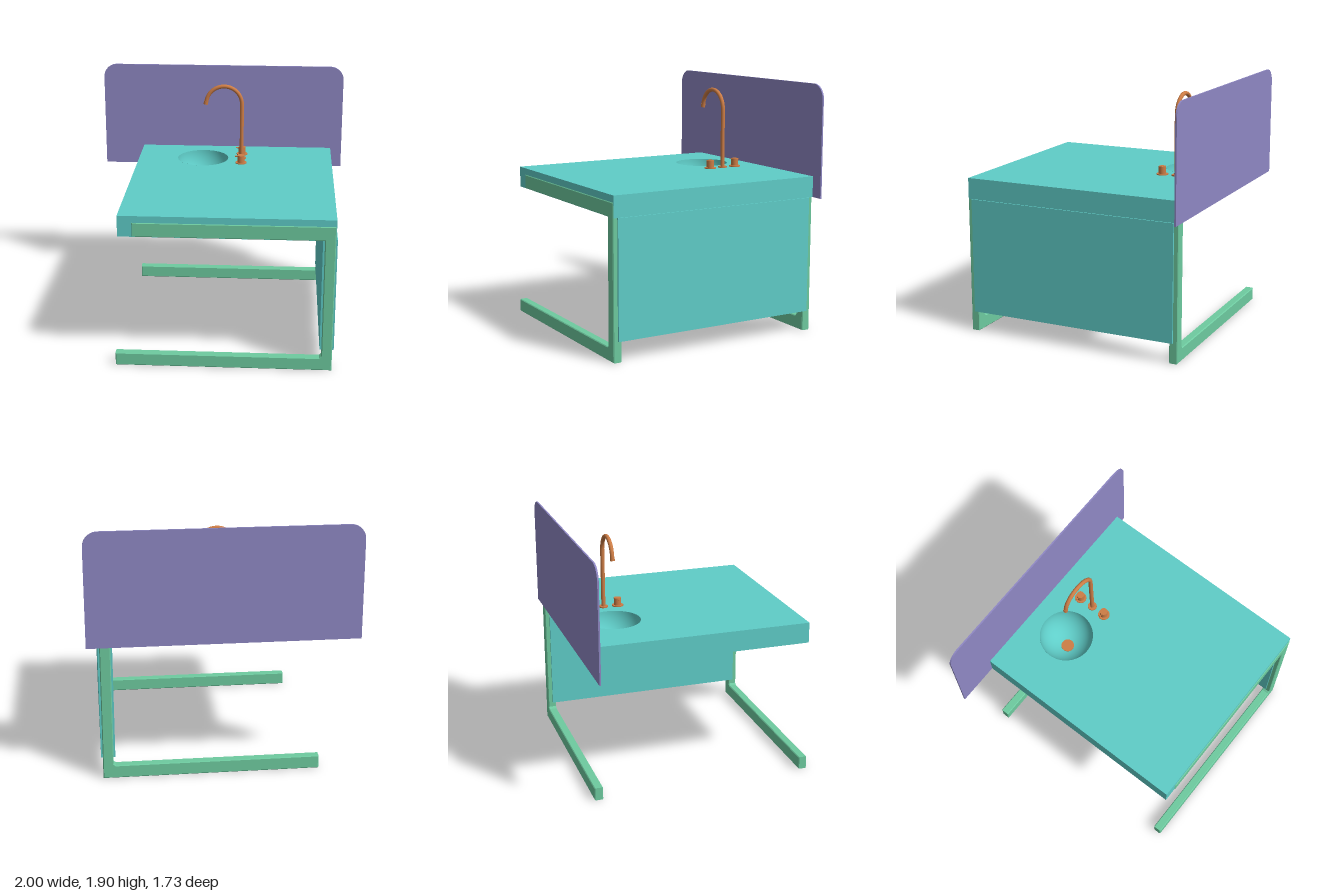
import * as THREE from 'three';

const paint = (color, side = THREE.FrontSide) => new THREE.MeshStandardMaterial({ color, side });

function rectPath(x0, x1, y0, y1, Type = THREE.Shape) {
  const p = new Type();
  p.moveTo(x0, y0);
  p.lineTo(x1, y0);
  p.lineTo(x1, y1);
  p.lineTo(x0, y1);
  p.closePath();
  return p;
}

export function createModel() {
  const model = new THREE.Group();
  const teal = paint(0x5fcdc8);
  const tealBoth = paint(0x5fcdc8, THREE.DoubleSide);
  const green = paint(0x6ecba0);
  const purple = paint(0x8f88c4);
  const copper = paint(0xcd7d46);

  const add = (name, geometry, material, x = 0, y = 0, z = 0, parent = model) => {
    const mesh = new THREE.Mesh(geometry, material);
    mesh.name = name;
    mesh.position.set(x, y, z);
    parent.add(mesh);
    return mesh;
  };

  // Extrudes a plan outline (x, -z) upward from y0 to y1
  const slab = (name, shape, y0, y1) => {
    const g = new THREE.ExtrudeGeometry(shape, { depth: y1 - y0, bevelEnabled: false, curveSegments: 48 });
    g.rotateX(-Math.PI / 2);
    return add(name, g, teal, 0, y0, 0);
  };

  // Countertop with basin hole, and the hollow skirt below it
  const bowlX = -0.147, bowlZ = -0.525, bowlR = 0.207;
  const top = rectPath(-0.675, 0.908, -0.86, 0.855);
  const hole = new THREE.Path();
  hole.absarc(bowlX, -bowlZ, bowlR, 0, Math.PI * 2, true);
  top.holes.push(hole);
  slab('countertop', top, 1.15, 1.2);

  const skirt = rectPath(-0.675, 0.908, -0.86, 0.855);
  skirt.holes.push(rectPath(-0.65, 0.883, -0.835, 0.83, THREE.Path));
  slab('counterSkirt', skirt, 1.04, 1.15);

  // Basin bowl and drain
  const bowl = [];
  for (let i = 0; i <= 20; i++) {
    const a = (i / 20) * Math.PI / 2;
    bowl.push(new THREE.Vector2(bowlR * Math.sin(a), 1.2 - 0.22 * Math.cos(a)));
  }
  add('basin', new THREE.LatheGeometry(bowl, 48), tealBoth, bowlX, 0, bowlZ);
  add('drain', new THREE.CylinderGeometry(0.05, 0.05, 0.008, 32), copper, bowlX, 0.989, bowlZ);

  // Side panel
  add('sidePanel', new THREE.BoxGeometry(0.106, 0.885, 1.645), teal, 0.865, 0.5975, 0.0075);

  // C-shaped leg frames, front and back, with softened edges
  const b = 0.006;
  const outline = [
    [-0.715, 0], [0.905, 0], [0.905, 1.15], [-0.57, 1.15],
    [-0.57, 1.04], [0.826, 1.04], [0.826, 0.115], [0.811, 0.1], [-0.715, 0.1],
  ].map(([x, y]) => new THREE.Vector2(x, y));
  const legGeometry = new THREE.ExtrudeGeometry(new THREE.Shape(outline), {
    depth: 0.066 - 2 * b, bevelEnabled: true, bevelThickness: b, bevelSize: b, bevelOffset: -b, bevelSegments: 1,
  });
  add('frontLegFrame', legGeometry, green, 0, 0, 0.799 + b);
  add('backLegFrame', legGeometry, green, 0, 0, -0.851 + b);

  // Backsplash with rounded top corners
  const r = 0.11;
  const board = new THREE.Shape();
  board.moveTo(-1, 1.04);
  board.lineTo(1, 1.04);
  board.lineTo(1, 1.9 - r);
  board.absarc(1 - r, 1.9 - r, r, 0, Math.PI / 2, false);
  board.lineTo(-1 + r, 1.9);
  board.absarc(-1 + r, 1.9 - r, r, Math.PI / 2, Math.PI, false);
  board.closePath();
  add('backsplash', new THREE.ExtrudeGeometry(board, { depth: 0.012, bevelEnabled: false, curveSegments: 16 }),
    purple, 0, 0, -0.868);

  // Gooseneck tap: riser, arc and short straight outlet
  const tapX = 0.17, arcR = 0.145, arcY = 1.663, tubeR = 0.016;
  const points = [new THREE.Vector3(0, 1.2, 0), new THREE.Vector3(0, 1.35, 0), new THREE.Vector3(0, 1.5, 0)];
  const end = THREE.MathUtils.degToRad(170);
  for (let i = 0; i <= 16; i++) {
    const a = (end * i) / 16;
    points.push(new THREE.Vector3(-arcR + arcR * Math.cos(a), arcY + arcR * Math.sin(a), 0));
  }
  const last = points[points.length - 1];
  const outlet = last.clone().add(new THREE.Vector3(-Math.sin(end), Math.cos(end), 0).multiplyScalar(0.027));
  points.push(outlet);
  const tap = new THREE.Group();
  tap.name = 'tap';
  tap.position.set(tapX, 0, -0.52);
  model.add(tap);
  add('spout', new THREE.TubeGeometry(new THREE.CatmullRomCurve3(points), 96, tubeR, 16), copper, 0, 0, 0, tap);
  const tip = add('spoutTip', new THREE.CylinderGeometry(0.018, 0.018, 0.024, 16), copper,
    outlet.x, outlet.y + 0.009, 0, tap);
  tip.rotation.z = end - Math.PI;
  add('tapFlange', new THREE.CylinderGeometry(0.035, 0.035, 0.01, 24), copper, 0, 1.205, 0, tap);

  // Handles on either side of the tap, each with a small lever
  for (const z of [-0.405, -0.637]) {
    const handle = new THREE.Group();
    handle.name = 'tapHandle';
    handle.position.set(tapX, 1.2, z);
    model.add(handle);
    add('handleFlange', new THREE.CylinderGeometry(0.045, 0.045, 0.008, 24), copper, 0, 0.004, 0, handle);
    add('handleKnob', new THREE.CylinderGeometry(0.029, 0.029, 0.065, 24), copper, 0, 0.0325, 0, handle);
    const lever = add('handleLever', new THREE.CylinderGeometry(0.005, 0.005, 0.03, 10), copper, -0.035, 0.056, 0, handle);
    lever.rotation.z = Math.PI / 2;
  }

  return model;
}
